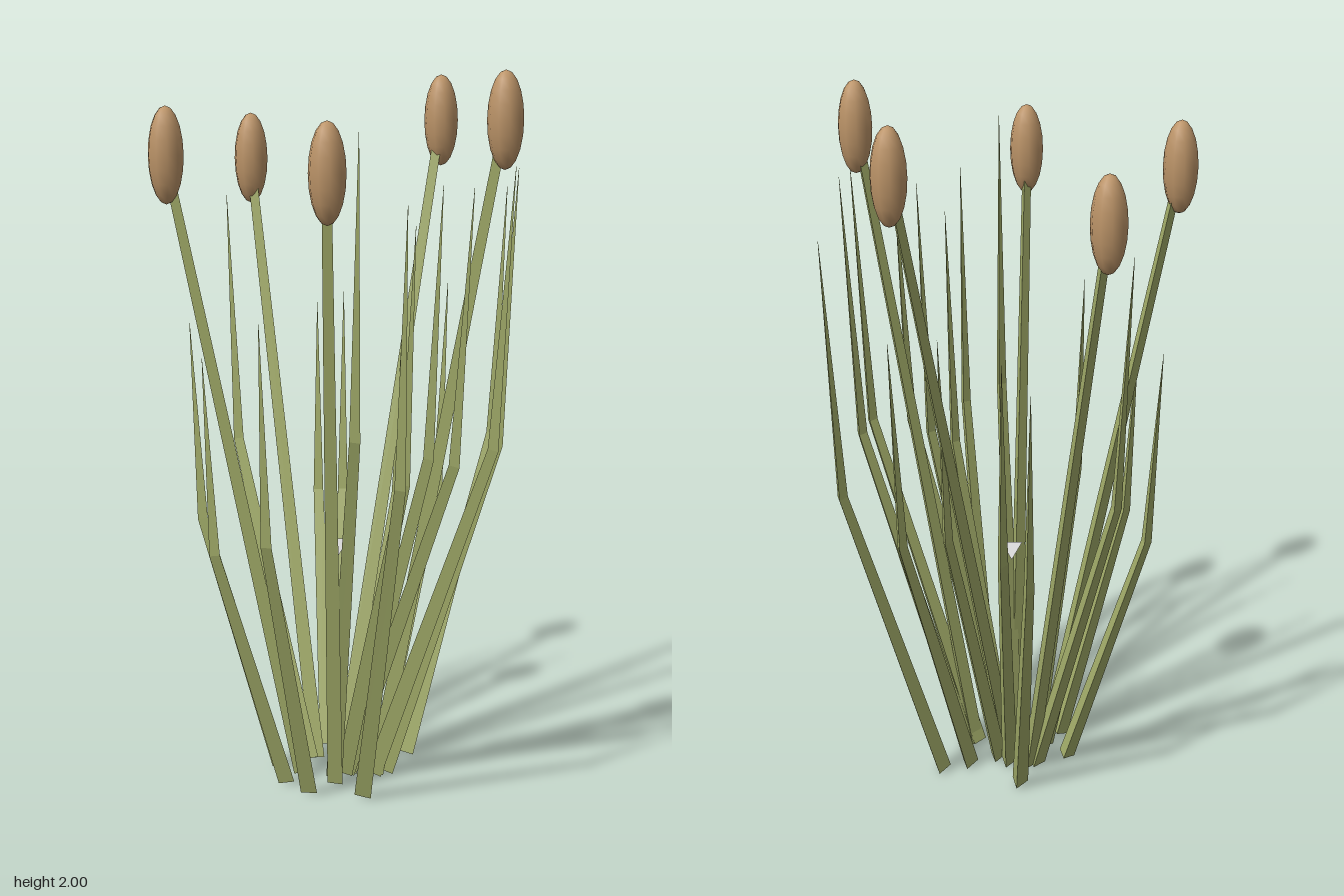
import * as THREE from 'three';

const mat = (name, color, flatShading) => {
  const m = new THREE.MeshStandardMaterial({ color, flatShading });
  m.name = name;
  return m;
};
const V = (x, y, z) => new THREE.Vector3(x, y, z);
const UP = V(0, 1, 0);

// Tapering three-sided reed along a path; stations: [centre, side width].
// Every section has one corner toward +x, tipped over to follow the path.
function reedGeometry(stations) {
  const rings = stations.map(([p, w], i) => {
    const a = stations[Math.max(i - 1, 0)][0];
    const b = stations[Math.min(i + 1, stations.length - 1)][0];
    const turn = new THREE.Quaternion().setFromUnitVectors(UP, b.clone().sub(a).normalize());
    const r = w / Math.sqrt(3);
    return [0, 1, 2].map((k) => {
      const t = (k * 2 * Math.PI) / 3;
      return V(r * Math.cos(t), 0, -r * Math.sin(t)).applyQuaternion(turn).add(p);
    });
  });
  const pos = [];
  const tri = (...corners) => corners.forEach((v) => pos.push(v.x, v.y, v.z));
  for (let i = 0; i < rings.length - 1; i++) {
    const r = rings[i], s = rings[i + 1];
    for (let k = 0; k < 3; k++) {
      const n = (k + 1) % 3;
      tri(r[k], r[n], s[n]);
      tri(r[k], s[n], s[k]);
    }
  }
  const first = rings[0], last = rings[rings.length - 1];
  tri(first[0], first[2], first[1]);
  tri(last[0], last[1], last[2]);
  const g = new THREE.BufferGeometry();
  g.setAttribute('position', new THREE.Float32BufferAttribute(pos, 3));
  g.computeVertexNormals();
  return g;
}

export function createModel() {
  const group = new THREE.Group();
  const green = mat('reed green', 0xa0aa68, true);
  const brown = mat('seed head brown', 0xbc9468, false);
  const grey = mat('pale grey', 0xd4d4d4, true);
  const add = (name, geo, material) => {
    const m = new THREE.Mesh(geo, material);
    m.name = name;
    group.add(m);
    return m;
  };

  // Stems with seed heads: base x, z, head x, y, z
  const headGeo = new THREE.SphereGeometry(1, 10, 10).scale(0.049, 0.131, 0.049);
  [
    [-0.002, 0.038, -0.04, 1.855, -0.42],
    [-0.104, 0.033, -0.461, 1.745, -0.055],
    [0.105, 0.005, 0.438, 1.869, -0.13],
    [0.073, 0.14, 0.312, 1.745, 0.415],
    [-0.053, 0.149, -0.245, 1.775, 0.462],
  ].forEach(([bx, bz, hx, hy, hz]) => {
    const base = V(bx, 0.01, bz), head = V(hx, hy, hz);
    const end = base.clone().lerp(head, 0.96);
    add('stem', reedGeometry([[base, 0.044], [end, 0.027]]), green);
    add('seedHead', headGeo, brown).position.copy(head);
  });

  // Bent leaf blades: base x, z, tip x, y, z
  [
    [0.056, -0.176, 0.137, 1.67, -0.513],
    [0.021, -0.097, 0.027, 1.39, -0.38],
    [-0.01, -0.01, -0.02, 1.38, -0.245],
    [-0.053, -0.007, -0.238, 1.355, -0.216],
    [-0.16, -0.067, -0.372, 1.31, -0.24],
    [-0.112, 0.052, -0.46, 1.64, 0.045],
    [-0.144, 0.146, -0.36, 1.3, 0.285],
    [-0.034, 0.228, -0.087, 1.245, 0.485],
    [0.067, 0.239, 0.156, 1.36, 0.508],
    [0.197, 0.157, 0.506, 1.67, 0.328],
    [0.036, 0.105, 0.339, 1.85, 0.328],
    [0.038, 0.065, 0.35, 1.6, 0.123],
    [0.037, 0.055, 0.478, 1.7, 0.04],
    [0.037, 0.045, 0.35, 1.7, 0.015],
    [0.1, 0.01, 0.497, 1.75, -0.105],
    [0.112, -0.027, 0.43, 1.74, -0.2],
  ].forEach(([bx, bz, tx, ty, tz]) => {
    const base = V(bx, 0.01, bz), tip = V(tx, ty, tz);
    const knee = base.clone().lerp(tip, 0.87);
    knee.y = ty * 0.565;
    add('leafBlade', reedGeometry([[base, 0.047], [knee, 0.03], [tip, 0.001]]), green);
  });

  // Tiny four-sided chip in the middle of the clump
  const chip = add('centreChip', new THREE.TetrahedronGeometry(0.037), grey);
  chip.rotation.y = Math.PI / 2;
  chip.position.set(0, 0.67, 0.056);
  return group;
}
